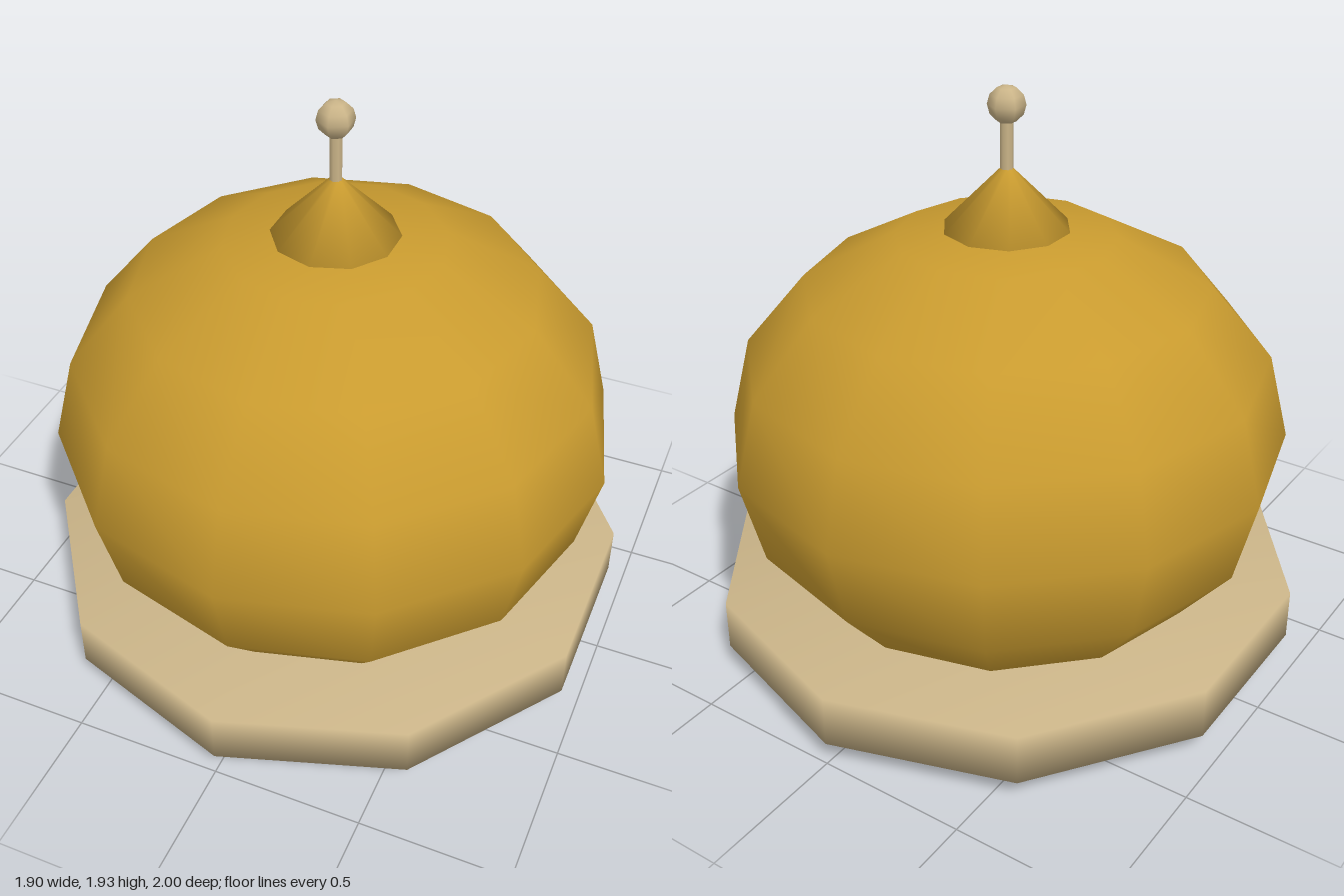
import * as THREE from 'three';
import { mergeVertices } from 'three/addons/utils/BufferGeometryUtils.js';

// Weld all corners so shading runs smoothly over the edges
function soften(geometry) {
  geometry.deleteAttribute('normal');
  geometry.deleteAttribute('uv');
  const welded = mergeVertices(geometry, 1e-4);
  welded.computeVertexNormals();
  return welded;
}

export function createModel() {
  const group = new THREE.Group();
  const gold = new THREE.MeshStandardMaterial({ color: 0xc99b2f });
  gold.name = 'gold';
  const tan = new THREE.MeshStandardMaterial({ color: 0xcab488 });
  tan.name = 'tan';

  const add = (name, geometry, material, y) => {
    const mesh = new THREE.Mesh(geometry, material);
    mesh.name = name;
    mesh.position.y = y;
    group.add(mesh);
    return mesh;
  };

  // Squashed round body, poking slightly through the base ring
  add('body', new THREE.SphereGeometry(0.94, 12, 8).scale(1, 0.8, 1), gold, 0.754);

  // Ten-sided base plate with soft shading
  add('base', soften(new THREE.CylinderGeometry(1, 1, 0.175, 10)), tan, 0.168);

  // Cone cap, stem and knob on top
  add('cap', soften(new THREE.CylinderGeometry(0.02, 0.208, 0.195, 10)), gold, 1.573);
  add('stem', new THREE.CylinderGeometry(0.021, 0.021, 0.18, 8), tan, 1.75);
  add('knob', new THREE.SphereGeometry(0.061, 6, 6).rotateY(Math.PI / 2), tan, 1.874);

  return group;
}
